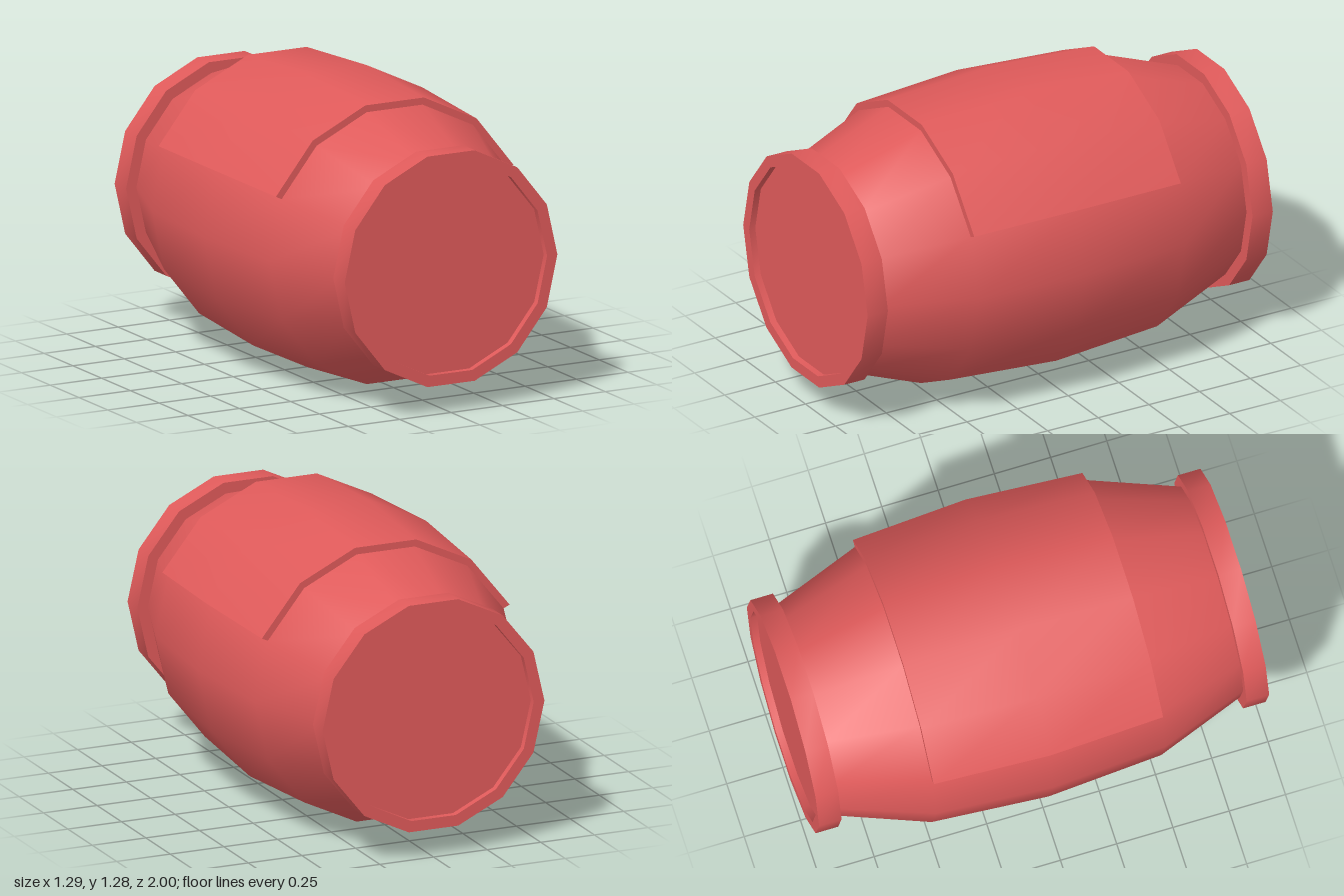
import * as THREE from 'three';
import { toCreasedNormals, mergeGeometries } from 'three/addons/utils/BufferGeometryUtils.js';

const SIDES = 14;
const STEP = (Math.PI * 2) / SIDES;
const CENTER_Y = 0.63;

// Turns a [radius, z] profile around the z axis
function turned(profile, phiStart = STEP / 2, segments = SIDES) {
  const points = profile.map(([r, z]) => new THREE.Vector2(r, z));
  const geometry = new THREE.LatheGeometry(points, segments, phiStart, segments * STEP);
  geometry.rotateX(Math.PI / 2);
  return toCreasedNormals(geometry, 0.7);
}

export function createModel() {
  const model = new THREE.Group();
  model.name = 'barrel';
  const material = new THREE.MeshStandardMaterial({ color: 0xdf5a5a, side: THREE.DoubleSide });

  const add = (name, geometry) => {
    const mesh = new THREE.Mesh(geometry, material);
    mesh.name = name;
    mesh.position.y = CENTER_Y;
    model.add(mesh);
    return mesh;
  };

  // Bulging body lying along z
  add('body', turned([[0.467, -0.9], [0.61, -0.51], [0.645, 0], [0.61, 0.51], [0.467, 0.9]]));

  // Raised rims and the recessed lids inside them
  for (const [side, sign] of [['front', 1], ['back', -1]]) {
    const rim = turned([
      [0.467, -0.05], [0.517, -0.05], [0.517, 0.05], [0.467, 0.05], [0.467, -0.05],
    ]);
    add(side + 'Rim', rim).position.z = sign * 0.95;

    const lid = new THREE.CircleGeometry(0.467, SIDES);
    if (sign < 0) lid.rotateY(Math.PI);
    add(side + 'Lid', lid).position.z = sign * 0.97;
  }

  // Raised panel wrapped over the top five sides
  const panelProfile = [[0.61, -0.51], [0.641, -0.51], [0.672, 0], [0.641, 0.51], [0.61, 0.51]];
  add('topPanel', turned(panelProfile, Math.PI / 2 + STEP, 5));

  // Long edges closing the panel on both sides
  const outline = [...panelProfile, [0.645, 0]].map(([r, z]) => new THREE.Vector2(r, z));
  const edges = [STEP, 6 * STEP].map((angle) =>
    new THREE.ShapeGeometry(new THREE.Shape(outline)).rotateX(Math.PI / 2).rotateZ(angle));
  add('panelEdges', mergeGeometries(edges));

  return model;
}
